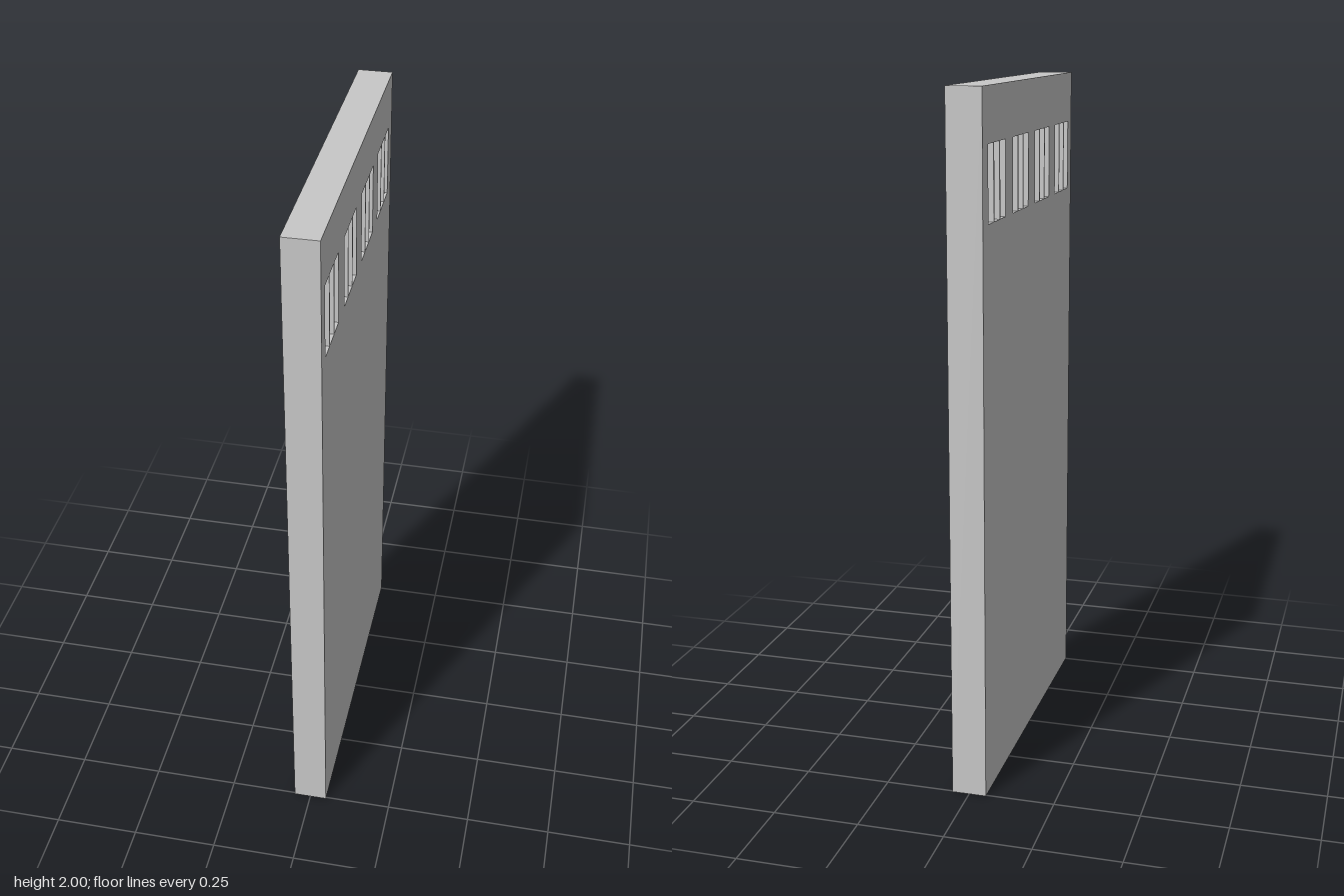
import * as THREE from 'three';

export function createModel() {
  const group = new THREE.Group();
  const wallMaterial = new THREE.MeshStandardMaterial({ color: 0xc8c8c8 });
  wallMaterial.name = 'light grey wall';
  const glassMaterial = new THREE.MeshStandardMaterial({ color: 0x707480 });
  glassMaterial.name = 'blue grey glass';

  const length = 1.01, height = 2, thickness = 0.1, recess = 0.02;
  const bottom = 1.64, top = 1.85;
  const windowCentres = [0.375, 0.128, -0.12, -0.367];
  const lightWidth = 0.053, lightPitch = 0.0585;

  function rectangle(path, x0, y0, x1, y1) {
    path.moveTo(x0, y0);
    path.lineTo(x1, y0);
    path.lineTo(x1, y1);
    path.lineTo(x0, y1);
    path.closePath();
    return path;
  }

  // Wall slab, cut by three narrow lights per window so mullions remain between
  const outline = rectangle(new THREE.Shape(), -length / 2, 0, length / 2, height);
  for (const centre of windowCentres) {
    for (const i of [-1, 0, 1]) {
      const z = centre + i * lightPitch;
      outline.holes.push(rectangle(new THREE.Path(), z - lightWidth / 2, bottom, z + lightWidth / 2, top));
    }
  }
  const wallGeometry = new THREE.ExtrudeGeometry(outline, { depth: thickness, bevelEnabled: false });
  wallGeometry.translate(0, 0, -thickness / 2);
  wallGeometry.rotateY(-Math.PI / 2);
  const wall = new THREE.Mesh(wallGeometry, wallMaterial);
  wall.name = 'wall';
  group.add(wall);

  // Glass filling each light, set back from both wall faces
  const paneGeometry = new THREE.BoxGeometry(thickness - 2 * recess, top - bottom, lightWidth);
  windowCentres.forEach((centre, w) => {
    for (const i of [-1, 0, 1]) {
      const pane = new THREE.Mesh(paneGeometry, glassMaterial);
      pane.name = `window${w + 1}Pane${i + 2}`;
      pane.position.set(0, (bottom + top) / 2, centre + i * lightPitch);
      group.add(pane);
    }
  });

  return group;
}
